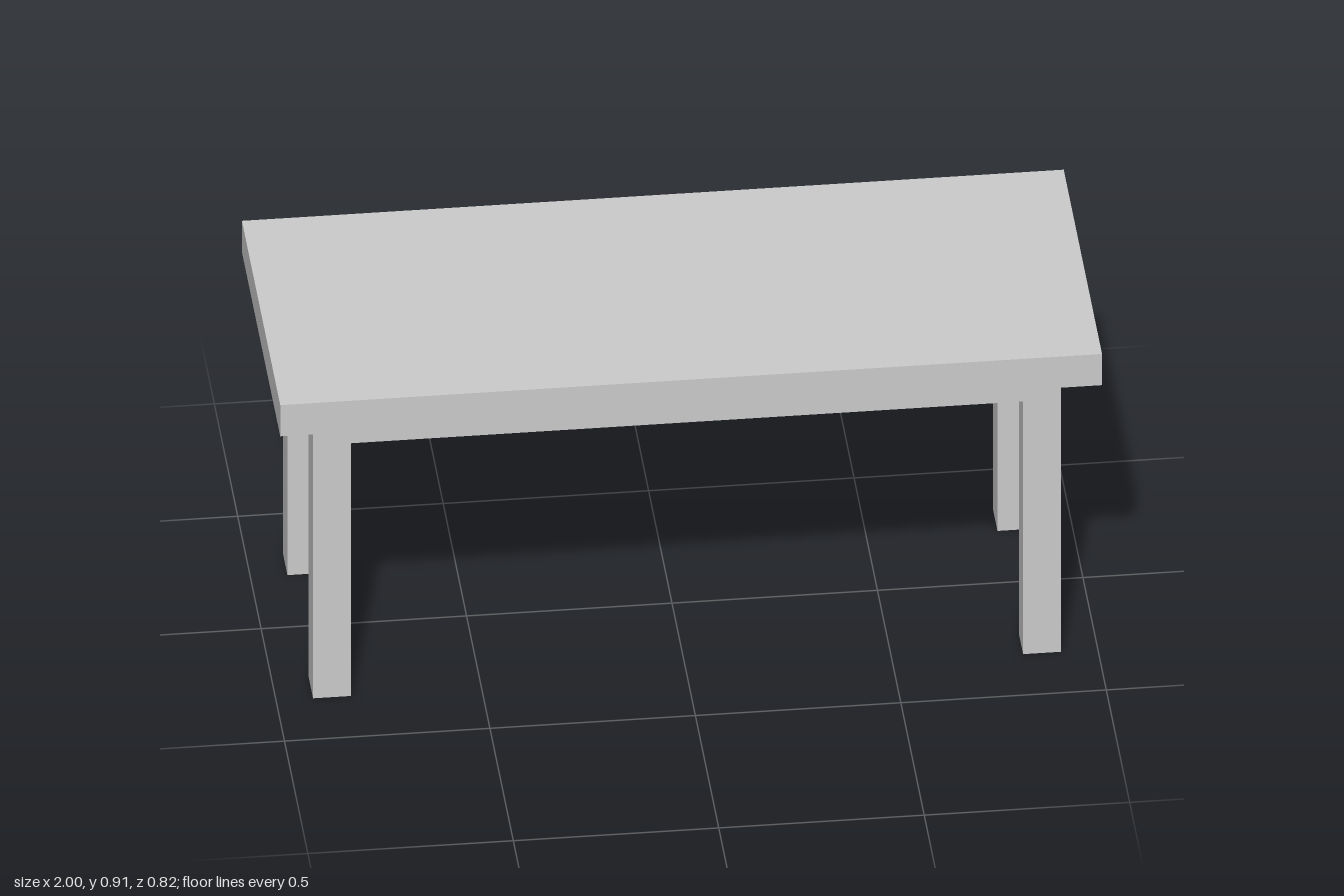
import * as THREE from 'three';

const material = new THREE.MeshStandardMaterial({ color: 0xcccccc });

// Main sizes
const HEIGHT = 0.912, TOP_THICK = 0.09, DEPTH = 0.82;
const LEG = 0.092, LEG_X = 0.864, LEG_Z = 0.274;
const UNDERSIDE = HEIGHT - TOP_THICK;

function box(name, w, h, d, x, y, z) {
  const mesh = new THREE.Mesh(new THREE.BoxGeometry(w, h, d), material);
  mesh.name = name;
  mesh.position.set(x, y, z);
  return mesh;
}

export function createModel() {
  const table = new THREE.Group();
  table.name = 'table';

  // Thick slab with an even overhang
  table.add(box('tableTop', 2, TOP_THICK, DEPTH, 0, HEIGHT - TOP_THICK / 2, 0));

  // Four square legs
  for (const [sideX, nameX] of [[1, 'Left'], [-1, 'Right']]) {
    for (const [sideZ, nameZ] of [[1, 'front'], [-1, 'back']]) {
      table.add(box(nameZ + nameX + 'Leg', LEG, UNDERSIDE, LEG,
        sideX * LEG_X, UNDERSIDE / 2, sideZ * LEG_Z));
    }
  }

  // Apron rails, flush with the legs and fitted between them
  const railY = UNDERSIDE - LEG / 2;
  for (const [side, longName, shortName] of [[1, 'frontApron', 'leftApron'], [-1, 'backApron', 'rightApron']]) {
    table.add(box(longName, 2 * LEG_X - LEG, LEG, LEG, 0, railY, side * LEG_Z));
    table.add(box(shortName, LEG, LEG, 2 * LEG_Z - LEG, side * LEG_X, railY, 0));
  }

  return table;
}
